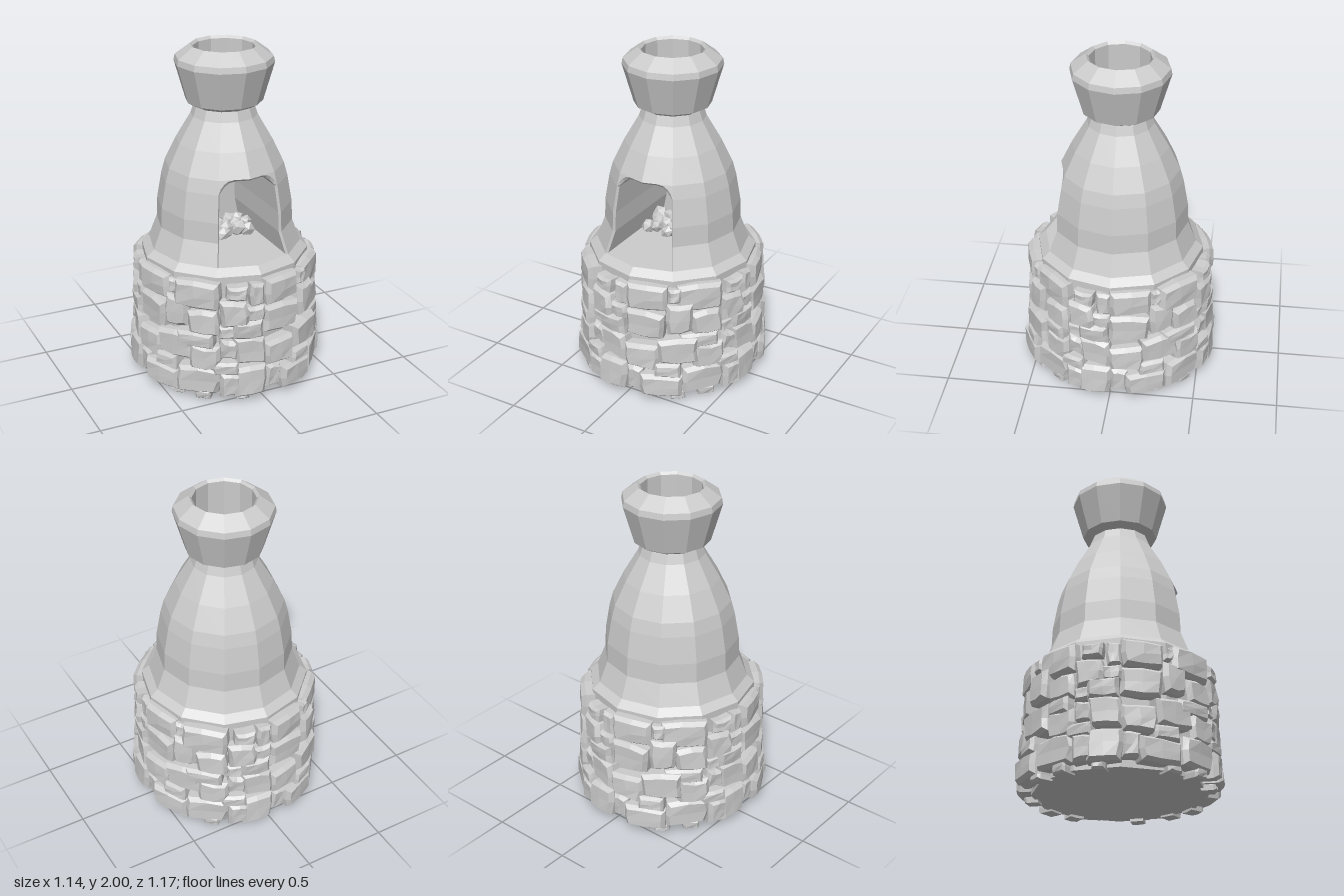
import * as THREE from 'three';

const stoneMat = new THREE.MeshStandardMaterial({ color: 0xcccccc, flatShading: true });
const shellMat = new THREE.MeshStandardMaterial({ color: 0xcccccc, flatShading: true, side: THREE.DoubleSide });
const SIDES = 12, RAD = Math.PI / 180;

// Stones of one quarter: [centre angle, width in degrees, bottom, top]
const STONES = [
  [-43, 29, .59, .745], [-17, 13, .65, .73], [-4, 9, .595, .735], [14, 25, .595, .745], [31, 8, .65, .735],
  [-19, 17, .48, .64], [-38, 19, .42, .575], [-5.5, 12, .5, .595], [13, 25, .42, .585], [34, 16, .46, .64],
  [-23, 11, .405, .485], [-10, 19, .395, .52], [-43, 24, .345, .435], [-37, 20, .205, .36], [-22, 12, .27, .395],
  [-9, 20, .235, .405], [11, 22, .205, .365], [33, 25, .25, .415], [-41, 27, .05, .22], [-24, 16, .185, .265],
  [-21, 14, .04, .195], [-9, 20, .045, .215], [6, 11, .06, .205], [23, 26, .035, .18], [27, 17, .17, .255],
  [-13, 8, .005, .07], [-38, 10, .01, .07], [33, 10, .005, .07],
];

// Outer profile of the plastered dome between ledge and lintel: [radius, height]
const DOME = [[.455, .81], [.405, .94], [.4, 1.06], [.372, 1.22], [.35, 1.3]];

function seeded(seed) {
  return () => (seed = (seed * 16807) % 2147483647) / 2147483647;
}

function add(group, name, geometry, material) {
  const mesh = new THREE.Mesh(geometry, material);
  mesh.name = name;
  group.add(mesh);
  return mesh;
}

function lathe(profile, segments = SIDES, start = 0, length = Math.PI * 2) {
  return new THREE.LatheGeometry(profile.map(p => new THREE.Vector2(...p)), segments, start, length);
}

// Geometry from a list of four-cornered faces
function quads(list) {
  const pos = [];
  for (const [a, b, c, d] of list) for (const p of [a, b, c, a, c, d]) pos.push(...p);
  const g = new THREE.BufferGeometry();
  g.setAttribute('position', new THREE.Float32BufferAttribute(pos, 3));
  g.computeVertexNormals();
  return g;
}

function domeRadius(y) {
  let i = 0;
  while (i < DOME.length - 2 && y > DOME[i + 1][1]) i++;
  const [r0, y0] = DOME[i], [r1, y1] = DOME[i + 1];
  return r0 + (r1 - r0) * (y - y0) / (y1 - y0);
}

// Point on one of the two front facets of the dome
function frontPoint(x, y) {
  return [x, y, domeRadius(y) - Math.abs(x) * Math.tan(15 * RAD)];
}

// Irregular flat-faced block with chamfered front and clipped corners
function stoneGeometry(width, height, rand, outer) {
  const g = new THREE.BoxGeometry(2, 2, 2, 2, 2, 2), p = g.attributes.position;
  const jitter = Array.from({ length: 9 }, () => [rand() - .5, rand() - .5, rand() - .5]);
  const small = Math.min(width, height), chamfer = Math.min(.02, small * .18);
  const layers = [.45, outer - chamfer * 1.3, outer];
  const tiltX = (rand() - .5) * .16, tiltY = (rand() - .5) * .14;
  for (let i = 0; i < p.count; i++) {
    const ix = Math.round(p.getX(i)), iy = Math.round(p.getY(i)), iz = Math.round(p.getZ(i));
    const [jx, jy, jz] = jitter[(ix + 1) * 3 + iy + 1];
    const inset = iz > 0 ? chamfer : 0, corner = ix && iy ? .96 : 1;
    const x = ix * (width / 2 - inset) * corner + jx * small * .12;
    const y = iy * (height / 2 - inset) * corner + jy * small * .12;
    const slope = iz < 0 ? 0 : x * tiltX + y * tiltY + jz * .008 - x * x * .4;
    p.setXYZ(i, x, y, layers[iz + 1] + slope);
  }
  g.computeVertexNormals();
  return g;
}

export function createModel() {
  const model = new THREE.Group();
  model.name = 'stoneOven';
  const rand = seeded(4711);

  // Base drum with its sloped ledge
  add(model, 'baseDrum', lathe([[0, .02], [.5, .02], [.5, .77], [.455, .81]]), shellMat);

  // Dome wall, open over the two front facets
  add(model, 'domeWall', lathe(DOME, SIDES - 2, 30 * RAD, 300 * RAD), shellMat);

  // Dome top, neck and hollow chimney cap
  add(model, 'domeTop', lathe([[.35, 1.3], [.283, 1.44], [.195, 1.59], [.175, 1.65]]), shellMat);
  add(model, 'chimneyCap', lathe([[.165, 1.65], [.18, 1.65], [.225, 1.675], [.29, 1.9], [.283, 1.935],
    [.195, 2], [.18, 1.985], [.18, 1.68], [0, 1.68]]), shellMat);

  // Half outline of the arched mouth, and the chamber just inside its lip
  const outline = [[.228, .81], [.202, .94], [.2, 1.06], [.195, 1.14], [.186, 1.22], [.172, 1.25],
    [.15, 1.275], [.125, 1.292], [.09, 1.3]]
    .map(([x, y]) => [Math.min(x, domeRadius(y) / 2), y]);
  const inside = outline.map(([x, y]) => [x - .012, y > 1.23 ? y - .012 : y]);
  const front = [], mouth = [], back = -.25;
  const lip = (x, y) => {
    const p = frontPoint(x, y);
    return [p[0], p[1], p[2] - .015];
  };
  for (const s of [1, -1]) {
    for (let i = 0; i < outline.length - 1; i++) {
      const [x0, y0] = outline[i], [x1, y1] = outline[i + 1];
      const [u0, v0] = inside[i], [u1, v1] = inside[i + 1];
      // Spandrel beside the arch and its bevelled lip
      front.push([frontPoint(s * x0, y0), frontPoint(s * domeRadius(y0) / 2, y0),
        frontPoint(s * domeRadius(y1) / 2, y1), frontPoint(s * x1, y1)]);
      front.push([frontPoint(s * x0, y0), frontPoint(s * x1, y1), lip(s * u1, v1), lip(s * u0, v0)]);
      // Side wall and back wall of the chamber
      mouth.push([lip(s * u0, v0), lip(s * u1, v1), [s * u1, v1, back], [s * u0, v0, back]]);
      mouth.push([[0, v0, back], [s * u0, v0, back], [s * u1, v1, back], [0, v1, back]]);
    }
    // Chamber floor, ceiling and the lip under the lintel
    const [fx, fy] = outline[0], [tx, ty] = outline.at(-1), [ux, uy] = inside.at(-1);
    mouth.push([frontPoint(0, fy), frontPoint(s * fx, fy), [s * fx, fy, back], [0, fy, back]]);
    mouth.push([lip(0, uy), lip(s * ux, uy), [s * ux, uy, back], [0, uy, back]]);
    front.push([frontPoint(0, ty), frontPoint(s * tx, ty), lip(s * ux, uy), lip(0, uy)]);
  }
  add(model, 'archSurround', quads(front), shellMat);
  add(model, 'fireChamber', quads(mouth), shellMat);

  // Heap of coals in the chamber
  const coals = new THREE.Group();
  coals.name = 'coals';
  for (let i = 0; i < 18; i++) {
    const x = -.15 + (i % 6) * .06 + (rand() - .5) * .04;
    const z = -.14 + Math.floor(i / 6) * .075 + (rand() - .5) * .03;
    const coal = add(coals, 'coal', new THREE.IcosahedronGeometry(.04 + rand() * .016, 0), stoneMat);
    coal.position.set(x, .835 + rand() * .02, z);
    coal.rotation.set(rand() * 3, rand() * 3, rand() * 3);
    coal.scale.set(1.2, .85, 1);
  }
  model.add(coals);

  // Stone cladding, one quarter repeated around the drum, a little prouder at front and back
  const cladding = new THREE.Group();
  cladding.name = 'stoneCladding';
  for (const [angle, width, y0, y1] of STONES) {
    const middle = (y0 + y1) / 2;
    const outer = .533 + (.7 - middle) * .05 + rand() * .014 - (width < 13 ? .012 : 0) - (y1 < .1 ? .02 : 0);
    const geometry = stoneGeometry(width * RAD * .54, y1 - y0, rand, outer);
    for (let q = 0; q < 4; q++) {
      const stone = add(cladding, 'stone', geometry, stoneMat);
      const turn = angle * RAD + q * Math.PI / 2, out = q % 2 ? 0 : .016;
      stone.position.set(out * Math.sin(turn), middle, out * Math.cos(turn));
      stone.rotation.y = turn;
    }
  }
  model.add(cladding);
  return model;
}
